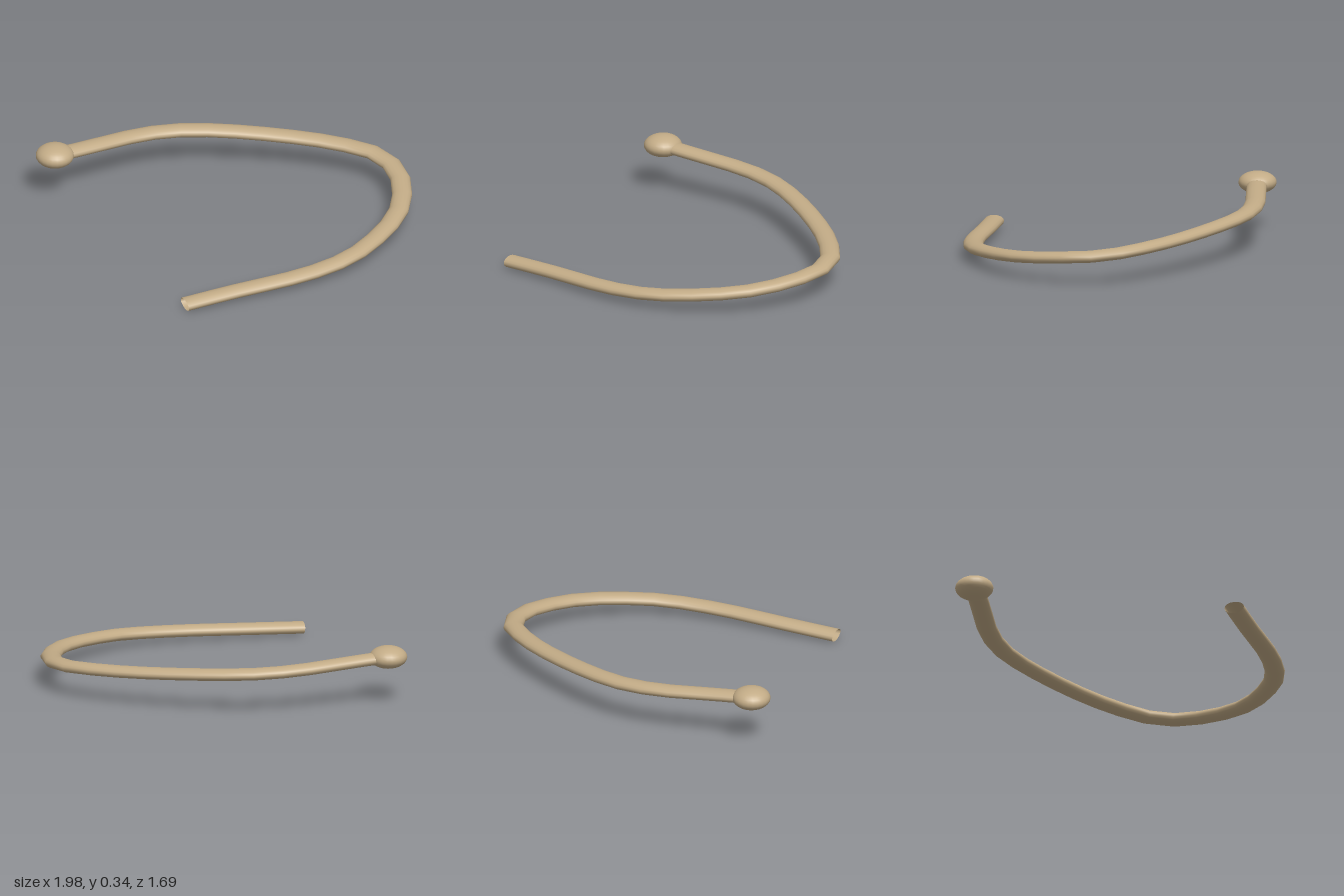
import * as THREE from 'three';

const FLATTEN = 0.58; // vertical squash giving oval sections

export function createModel() {
  const group = new THREE.Group();
  const material = new THREE.MeshStandardMaterial({ color: 0xc2ab86, side: THREE.DoubleSide });

  // Centre line, from the open end round the bend to the knob
  const points = [
    [-0.705, 0.038, 0.785], [-0.4, 0.05, 0.778], [0, 0.063, 0.778], [0.2, 0.072, 0.754],
    [0.35, 0.083, 0.715], [0.49, 0.095, 0.645], [0.705, 0.117, 0.485], [0.82, 0.132, 0.345],
    [0.888, 0.147, 0.2], [0.925, 0.16, 0.07], [0.93, 0.167, -0.04], [0.885, 0.18, -0.185],
    [0.73, 0.193, -0.345], [0.51, 0.206, -0.5], [0.17, 0.226, -0.68], [-0.07, 0.238, -0.768],
    [-0.27, 0.248, -0.792], [-0.42, 0.255, -0.782], [-0.65, 0.267, -0.746], [-0.885, 0.278, -0.715],
  ].map(([x, y, z]) => new THREE.Vector3(x, y / FLATTEN, z));
  const curve = new THREE.CatmullRomCurve3(points);

  // Curved stem, open at the end
  const stem = new THREE.Mesh(new THREE.TubeGeometry(curve, 26, 0.058, 16), material);
  stem.name = 'stem';

  // Rounded knob on the raised end
  const knob = new THREE.Mesh(new THREE.SphereGeometry(0.11, 24, 16), material);
  knob.name = 'knob';
  knob.position.copy(points[points.length - 1]);

  group.add(stem, knob);
  group.scale.y = FLATTEN;
  group.name = 'curvedStem';

  const model = new THREE.Group();
  model.add(group);
  return model;
}
